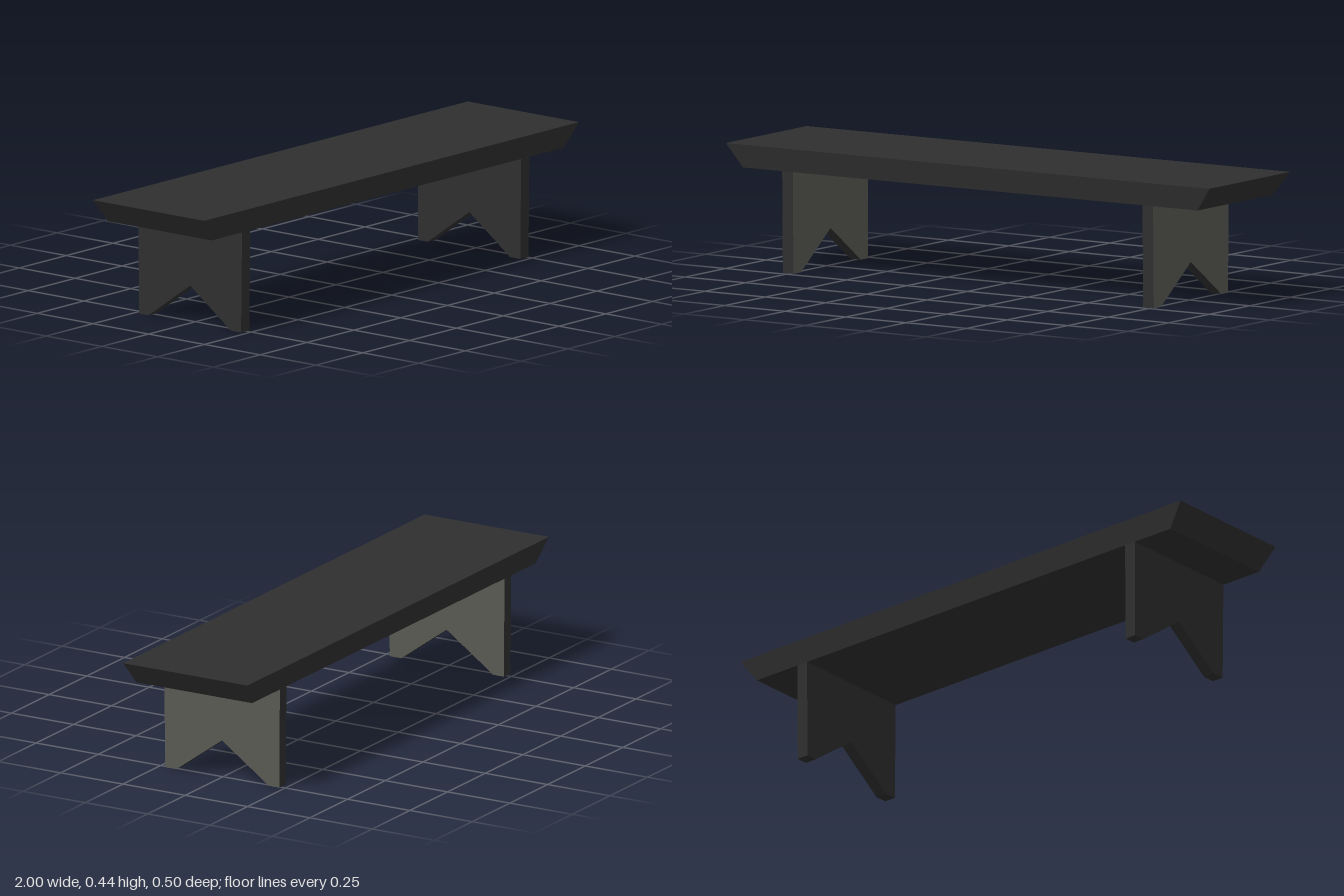
import * as THREE from 'three';

export function createModel() {
  const bench = new THREE.Group();
  bench.name = 'bench';

  const darkWood = new THREE.MeshStandardMaterial({ color: 0x2f2f2f });
  darkWood.name = 'darkWood';
  const greyWood = new THREE.MeshStandardMaterial({ color: 0x5a5a54 });
  greyWood.name = 'greyWood';

  const seatTop = 0.435, seatBottom = 0.353;

  // Seat: a plank whose four sides slope inwards towards the underside
  const seatGeometry = new THREE.BoxGeometry(2, seatTop - seatBottom, 0.498);
  const position = seatGeometry.attributes.position;
  for (let i = 0; i < position.count; i++) {
    if (position.getY(i) < 0) {
      position.setX(i, position.getX(i) * 0.94);
      position.setZ(i, position.getZ(i) * 0.932);
    }
  }
  seatGeometry.computeVertexNormals();
  const seat = new THREE.Mesh(seatGeometry, darkWood);
  seat.name = 'seat';
  seat.position.y = (seatTop + seatBottom) / 2;
  bench.add(seat);

  // Leg board outline, with a notch cut between the two feet
  const outline = new THREE.Shape([
    [-0.228, 0], [-0.182, 0], [0, 0.132], [0.187, 0],
    [0.23, 0], [0.232, seatBottom], [-0.232, seatBottom],
  ].map(([x, y]) => new THREE.Vector2(x, y)));

  const thickness = 0.044;
  const legGeometry = new THREE.ExtrudeGeometry(outline, { depth: thickness, bevelEnabled: false });
  legGeometry.translate(0, 0, -thickness / 2);
  legGeometry.rotateY(Math.PI / 2);

  // The broad face towards +x is grey, every other face is dark
  const capCount = legGeometry.groups[0].count / 2;
  const total = legGeometry.attributes.position.count;
  legGeometry.clearGroups();
  legGeometry.addGroup(0, capCount, 0);
  legGeometry.addGroup(capCount, capCount, 1);
  legGeometry.addGroup(capCount * 2, total - capCount * 2, 0);

  for (const [name, x] of [['rightLeg', -0.756], ['leftLeg', 0.734]]) {
    const leg = new THREE.Mesh(legGeometry, [darkWood, greyWood]);
    leg.name = name;
    leg.position.x = x;
    bench.add(leg);
  }

  return bench;
}
